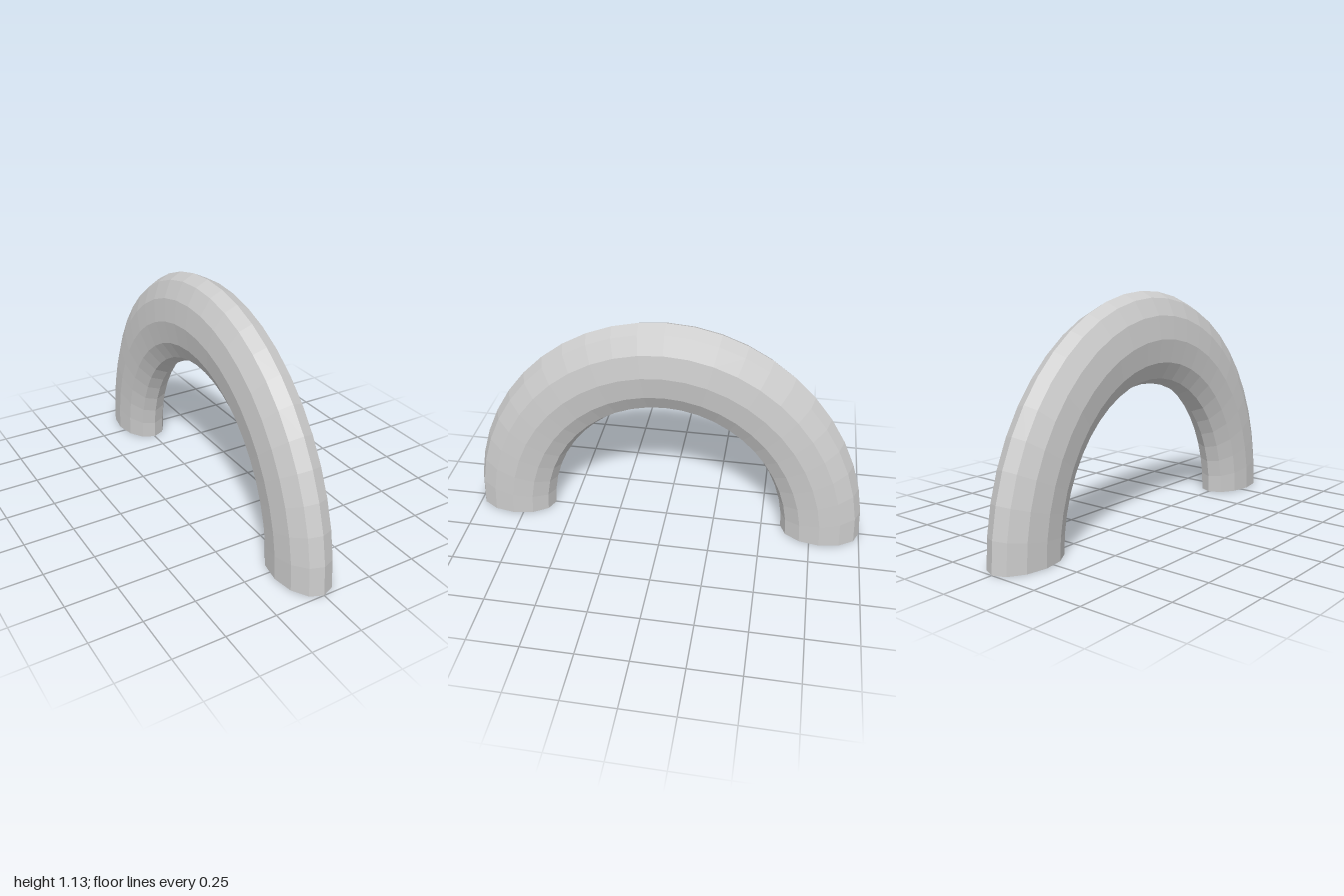
import * as THREE from 'three';

export function createModel() {
  const model = new THREE.Group();
  model.name = 'arch';

  // Half ring with a twelve-sided tube, open at both feet
  const geometry = new THREE.TorusGeometry(0.8, 0.2, 12, 24, Math.PI);
  geometry.rotateY(Math.PI / 2);
  // Flatten the tube sideways and raise the arch slightly
  geometry.scale(0.615, 1.135, 1);

  const material = new THREE.MeshStandardMaterial({
    color: 0xcccccc,
    flatShading: true,
    side: THREE.DoubleSide,
  });
  const tube = new THREE.Mesh(geometry, material);
  tube.name = 'archTube';
  model.add(tube);

  return model;
}
